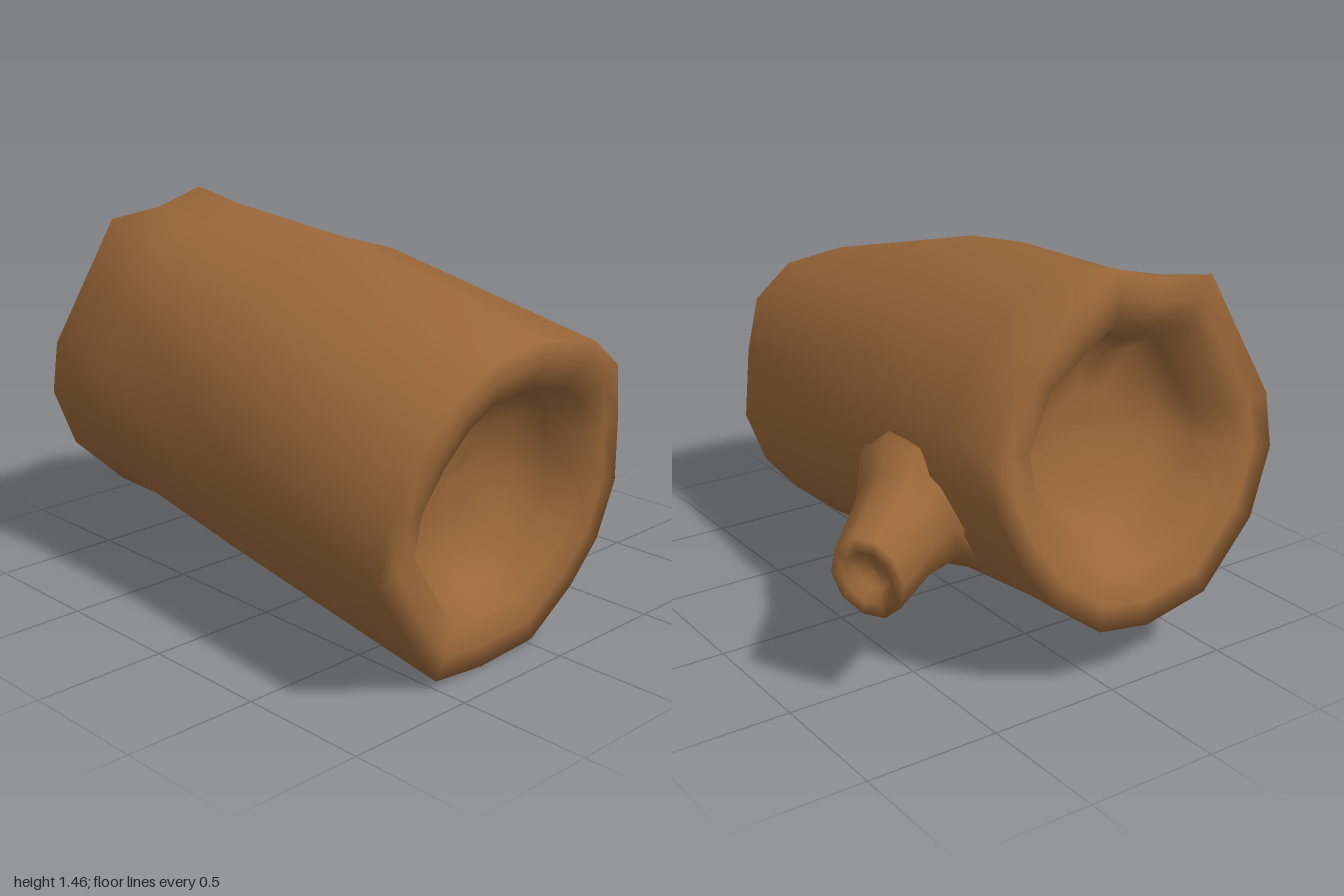
import * as THREE from 'three';

const V = (x, y, z) => new THREE.Vector3(x, y, z);

// Skin a list of equal-length rings with smooth normals
function loft(rings) {
  const n = rings[0].length, pos = [], idx = [];
  rings.forEach(r => r.forEach(p => pos.push(p.x, p.y, p.z)));
  for (let i = 0; i < rings.length - 1; i++) {
    for (let j = 0; j < n; j++) {
      const a = i * n + j, b = i * n + (j + 1) % n;
      idx.push(a, a + n, b, b, a + n, b + n);
    }
  }
  const g = new THREE.BufferGeometry();
  g.setAttribute('position', new THREE.Float32BufferAttribute(pos, 3));
  g.setIndex(idx);
  g.computeVertexNormals();
  return g;
}

const centreOf = ring => ring.reduce((s, p) => s.add(p), V(0, 0, 0)).divideScalar(ring.length);

// Copy of a ring shrunk about its centre and moved a distance along a direction
function inset(ring, scale, axis, distance) {
  const c = centreOf(ring);
  return ring.map(p => p.clone().sub(c).multiplyScalar(scale).add(c).addScaledVector(axis, distance));
}

export function createModel() {
  const group = new THREE.Group();
  group.name = 'log';
  const bark = new THREE.MeshStandardMaterial({ color: 0x996638 });
  bark.name = 'brown bark';

  // Uneven cut ends of the trunk, both listed anticlockwise from +x
  const front = [
    [0.41, 0.53, 0.90], [0.37, 0.80, 0.93], [0.30, 1.00, 0.97], [0.13, 1.12, 1.00],
    [-0.10, 1.16, 0.97], [-0.35, 1.12, 0.96], [-0.55, 1.05, 0.99], [-0.70, 0.90, 0.98],
    [-0.82, 0.71, 0.96], [-0.86, 0.50, 0.95], [-0.63, 0.19, 0.89], [-0.50, 0.03, 0.87],
    [-0.26, 0.00, 0.86], [0.01, 0.015, 0.86], [0.20, 0.17, 0.88], [0.33, 0.32, 0.89],
  ].map(p => V(...p));
  const back = [
    [0.45, 0.74], [0.47, 0.94], [0.32, 1.20], [0.11, 1.34],
    [-0.10, 1.46], [-0.30, 1.40], [-0.52, 1.38], [-0.64, 1.15],
    [-0.76, 0.92], [-0.77, 0.72], [-0.66, 0.48], [-0.42, 0.26],
    [-0.15, 0.21], [0.06, 0.24], [0.25, 0.38], [0.37, 0.55],
  ].map(([x, y]) => V(x, y, -0.83 - (1.46 - y) * 0.136));
  // Middle of the trunk: round, but flatter at upper +x and fuller at lower -x
  const middle = front.map((p, j) => {
    const a = j / front.length * Math.PI * 2;
    const r = 0.62 - 0.05 * Math.cos(a - Math.PI / 4) * Math.sin(2 * a) ** 2;
    return V(-0.15 + r * Math.cos(a), 0.765 + r * Math.sin(a), (p.z + back[j].z) / 2);
  });
  const neck = inset(middle.map((p, j) => p.clone().lerp(back[j], 0.7)), 0.98, V(0, 0, 0), 0);

  // Trunk with a thick rim and a bowl-shaped hollow at each end
  const axis = V(0.02, 0.07, -1).normalize();
  const hollow = [[0.86, 0], [0.7, 0.03], [0.6, 0.15], [0.5, 0.25], [0.25, 0.29], [0, 0.3]];
  const trunk = new THREE.Mesh(loft([
    ...hollow.map(([s, d]) => inset(front, s, axis, d)).reverse(),
    front, middle, neck, back,
    ...hollow.map(([s, d]) => inset(back, s, axis, -d)),
  ]), bark);
  trunk.name = 'trunk';
  group.add(trunk);

  // Branch ring: centre, sideways half-width (x, z), half-height and wrap round the trunk
  const SIDES = 10;
  const branchRing = (c, ux, uz, h, wrap = 0) => Array.from({ length: SIDES }, (_, j) => {
    const a = j / SIDES * Math.PI * 2, y = c[1] + Math.sin(a) * h;
    return V(c[0] + Math.cos(a) * ux - wrap * (y - 0.77) ** 2, y, c[2] + Math.cos(a) * uz);
  });
  const tip = branchRing([0.8, 0.51, -0.665], 0.07, 0.115, 0.15, 0.25);
  const branchAxis = V(0.8, 0, -0.6);
  const branch = new THREE.Mesh(loft([
    branchRing([0.39, 0.58, -0.34], 0.02, 0.34, 0.29, 0.85),
    branchRing([0.475, 0.58, -0.37], 0.03, 0.26, 0.235, 0.85),
    branchRing([0.56, 0.56, -0.485], 0.05, 0.185, 0.205),
    tip,
    inset(tip, 0.65, branchAxis, 0),
    inset(tip, 0.45, branchAxis, -0.06),
    inset(tip, 0, branchAxis, -0.07),
  ]), bark);
  branch.name = 'branchStub';
  group.add(branch);

  return group;
}
